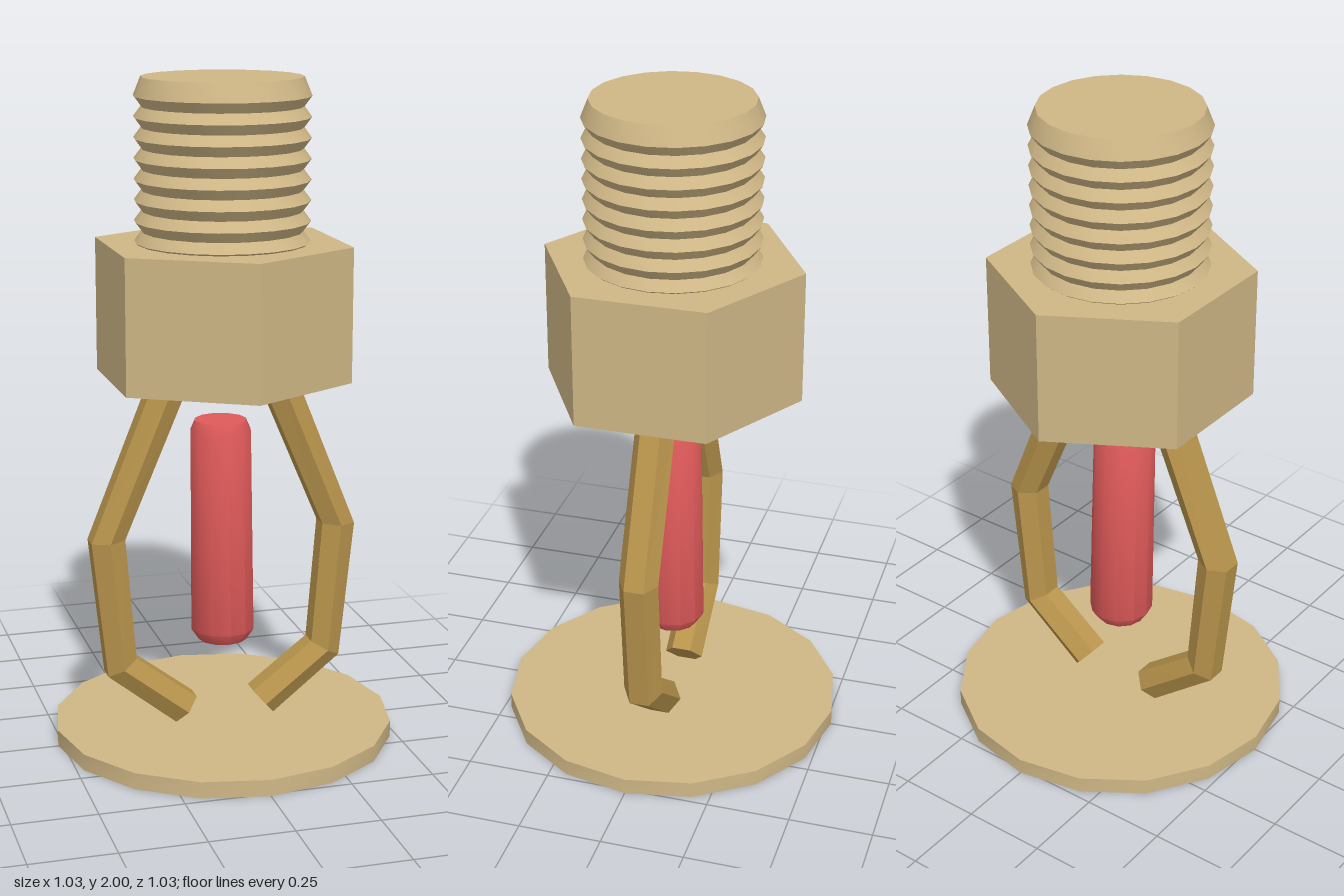
import * as THREE from 'three';
import { toCreasedNormals } from 'three/addons/utils/BufferGeometryUtils.js';

const material = (name, color) => {
  const m = new THREE.MeshStandardMaterial({ color });
  m.name = name;
  return m;
};

// Revolved solid, profile listed from the bottom up as [radius, height]
const turned = (profile, sides) =>
  new THREE.LatheGeometry(profile.map(([r, y]) => new THREE.Vector2(r, y)), sides);

// Hexagonal bar swept through rows of [outer x, outer y, inner x, inner y], top row first
function bentBar(rows, halfDepth) {
  const last = rows.length - 1;
  const geo = new THREE.CylinderGeometry(1, 1, 1, 6, last);
  const p = geo.attributes.position;
  for (let i = 0; i < p.count; i++) {
    const [ox, oy, ix, iy] = rows[Math.round((0.5 - p.getY(i)) * last)];
    const t = 0.5 + p.getX(i) / Math.sqrt(3); // 0 on the inner flat, 1 on the outer flat
    p.setXYZ(i, ix + (ox - ix) * t, iy + (oy - iy) * t, p.getZ(i) * halfDepth);
  }
  const flat = geo.toNonIndexed();
  flat.computeVertexNormals();
  return flat;
}

export function createModel() {
  const group = new THREE.Group();
  const brass = material('pale brass', 0xcfb786);
  const bronze = material('dark brass', 0xb8944c);
  const red = material('red glass', 0xe05a5a);

  const add = (name, geo, mat) => {
    const mesh = new THREE.Mesh(geo, mat);
    mesh.name = name;
    group.add(mesh);
    return mesh;
  };

  // Deflector disc at the base
  const disc = new THREE.CylinderGeometry(0.517, 0.517, 0.05, 16).translate(0, 0.025, 0);
  add('deflector', toCreasedNormals(disc, 0.6), brass);

  // Hexagonal nut
  const nut = new THREE.CylinderGeometry(0.39, 0.39, 0.4, 6).translate(0, 1.32, 0);
  add('hexNut', toCreasedNormals(nut, 0.6), brass);

  // Threaded plug: alternating crests and roots under a bevelled top
  const thread = [[0.245, 1.515]];
  for (let k = 0; k < 7; k++) {
    const y = 1.555 + k * 0.06;
    thread.push([0.258, y - 0.03], [0.236, y]);
  }
  thread.push([0.258, 1.945], [0.236, 2], [0, 2]);
  add('threadedPlug', toCreasedNormals(turned(thread, 20), 0.6), brass);

  // Glass bulb, leaning very slightly toward its upper end
  const bulb = turned([[0, 0.3], [0.075, 0.3], [0.098, 0.335], [0.093, 0.955], [0.078, 0.99], [0, 0.99]], 12);
  const p = bulb.attributes.position;
  for (let i = 0; i < p.count; i++) {
    const lean = (p.getY(i) - 0.3) * 0.012;
    p.setXYZ(i, p.getX(i) - lean, p.getY(i), p.getZ(i) + lean);
  }
  add('bulb', toCreasedNormals(bulb, 0.65), red);

  // Bent frame arms, one on each side
  const arm = bentBar([
    [0.207, 1.145, 0.112, 1.105],
    [0.41, 0.64, 0.308, 0.645],
    [0.365, 0.218, 0.277, 0.268],
    [0.155, 0.05, 0.09, 0.125],
  ], 0.06);
  add('leftArm', arm, bronze);
  add('rightArm', arm, bronze).rotation.y = Math.PI;

  return group;
}
